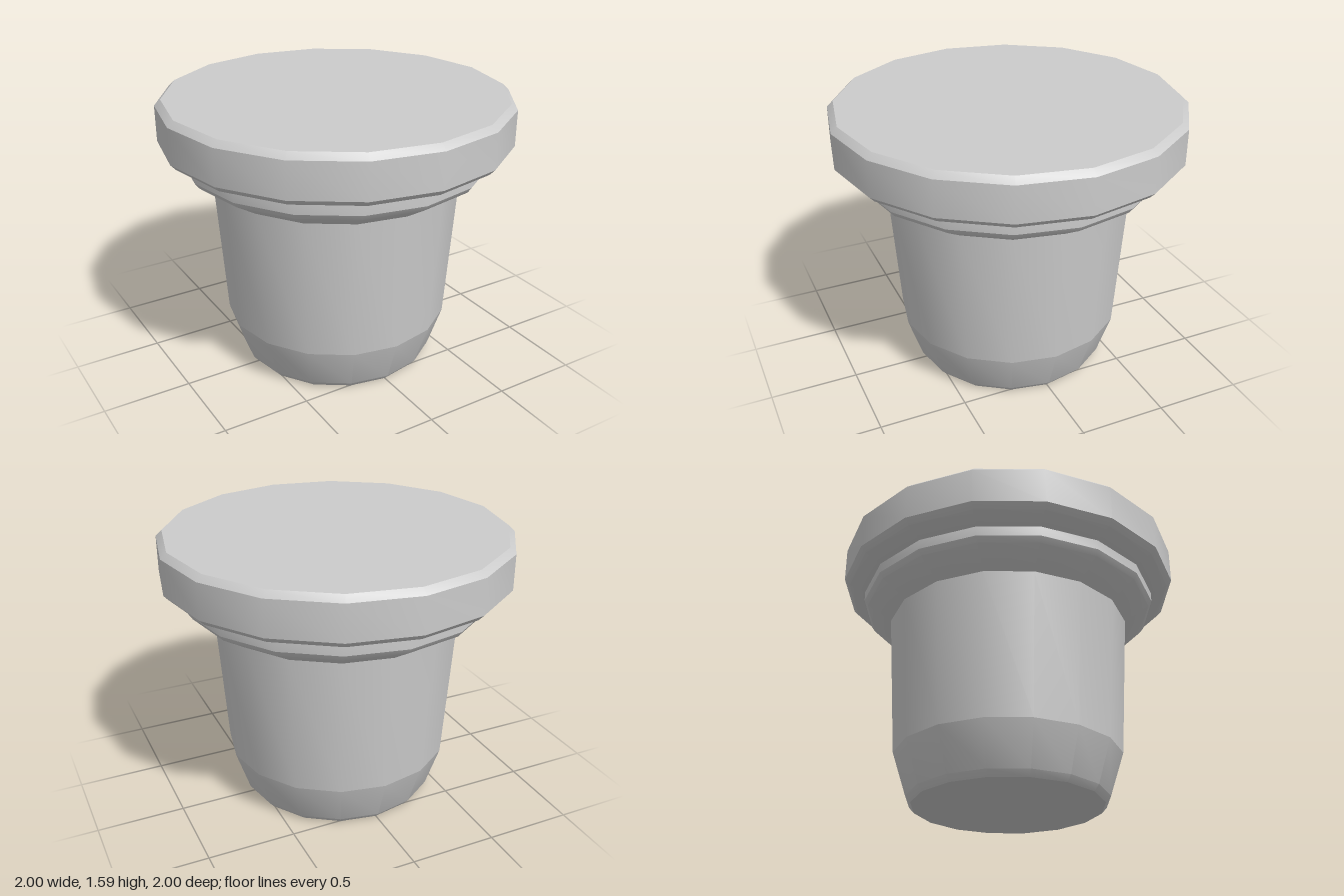
import * as THREE from 'three';
import { toCreasedNormals } from 'three/addons/utils/BufferGeometryUtils.js';

const SIDES = 16;
const material = new THREE.MeshStandardMaterial({ color: 0xcccccc });

// Sixteen-sided turned part from [radius, height] pairs, listed bottom to top
function turned(name, profile) {
  const points = profile.map(([r, y]) => new THREE.Vector2(r, y));
  const geometry = toCreasedNormals(new THREE.LatheGeometry(points, SIDES), 0.45);
  const mesh = new THREE.Mesh(geometry, material);
  mesh.name = name;
  return mesh;
}

export function createModel() {
  const model = new THREE.Group();
  model.name = 'stopper';

  model.add(
    // Closed, rounded-off lower end
    turned('tip', [[0, 0], [0.545, 0], [0.575, 0.035], [0.655, 0.28]]),
    // Slightly tapered plug
    turned('body', [[0.655, 0.28], [0.71, 1.107]]),
    // Flared step under the cap
    turned('collar', [[0.71, 1.107], [0.853, 1.197], [0.874, 1.228], [0.874, 1.285]]),
    // Wide bevelled cap with a flat top
    turned('cap', [
      [0.874, 1.285], [0.97, 1.325], [1, 1.357],
      [1, 1.56], [0.965, 1.593], [0, 1.593],
    ]),
  );
  return model;
}
